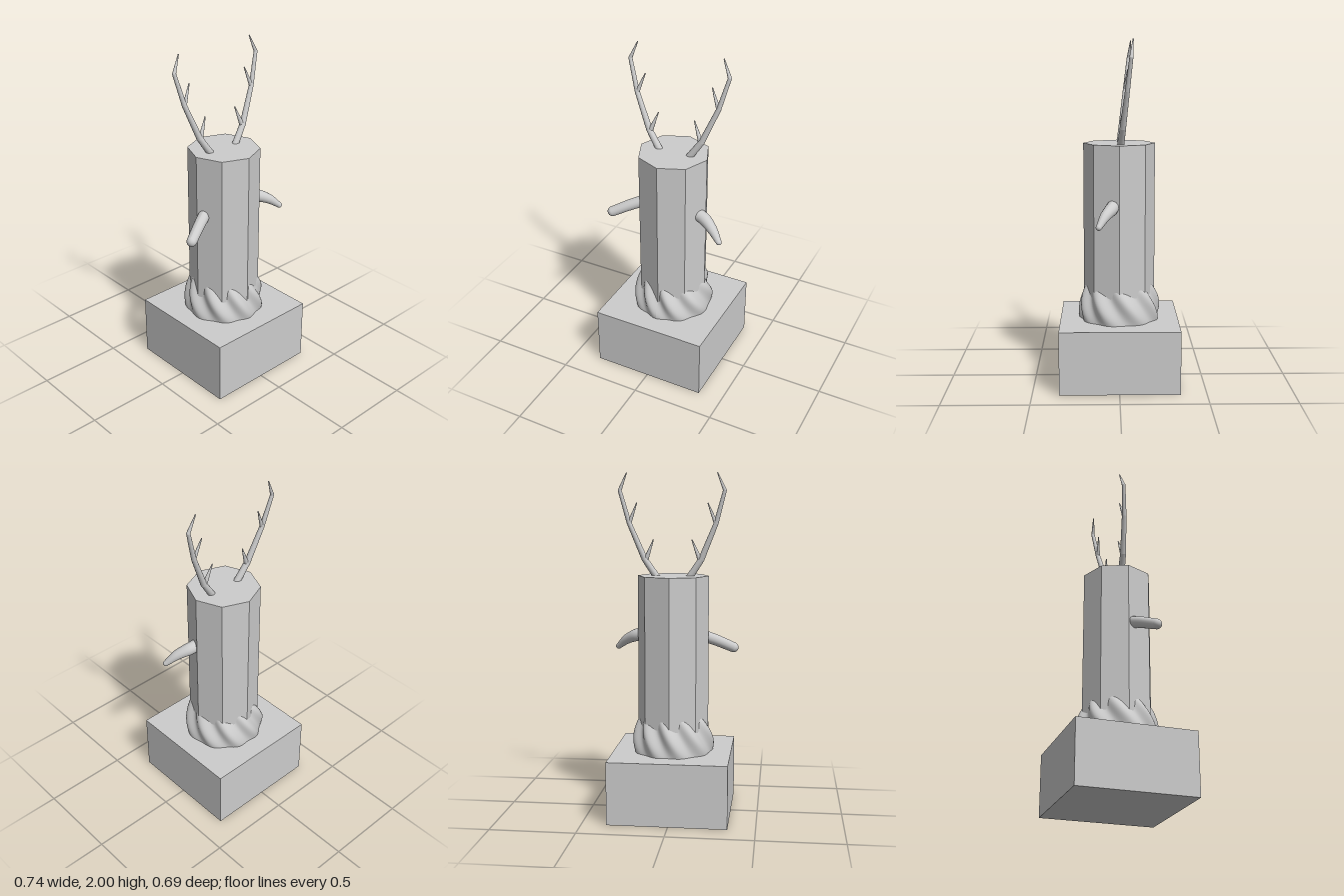
import * as THREE from 'three';

const CX = 0.007; // the post stands slightly off centre

export function createModel() {
  const group = new THREE.Group();
  const stone = new THREE.MeshStandardMaterial({ color: 0xcccccc });
  stone.name = 'pale grey';

  const add = (name, geometry, parent = group) => {
    const mesh = new THREE.Mesh(geometry, stone);
    mesh.name = name;
    parent.add(mesh);
    return mesh;
  };
  const V = (p) => new THREE.Vector3(...p);

  // Square plinth
  add('plinth', new THREE.BoxGeometry(0.695, 0.37, 0.695).translate(CX, 0.185, -0.002));

  // Eight-sided post with hard edges
  const post = new THREE.CylinderGeometry(0.209, 0.209, 1.06, 8).toNonIndexed();
  post.computeVertexNormals();
  add('post', post.translate(CX, 0.88, -0.002));

  // Twisted ridges flaring from the foot of the post and sinking into it above
  const skirt = new THREE.CylinderGeometry(1, 1, 1, 144, 24, true);
  const pos = skirt.attributes.position;
  for (let i = 0; i < pos.count; i++) {
    const v = pos.getY(i) + 0.5;
    const a = Math.atan2(pos.getX(i), pos.getZ(i));
    const ridge = Math.cos(9 * (a + 0.65 * v) + 0.5 * Math.sin(2 * a));
    const r = 0.231 + 0.02 * v - 0.078 * v * v + (0.003 + 0.02 * v * (1.15 - v)) * 1.6 * ridge;
    pos.setXYZ(i, CX + r * Math.sin(a), 0.36 + 0.235 * v, r * Math.cos(a) - 0.002);
  }
  skirt.computeVertexNormals();
  add('rootRidges', skirt);

  // Tapered rod between two points
  const rod = (name, p, q, r0, r1, parent) => {
    const a = V(p), b = V(q), d = b.clone().sub(a);
    const mesh = add(name, new THREE.CylinderGeometry(r1, r0, d.length(), 12), parent);
    mesh.position.copy(a).add(b).multiplyScalar(0.5);
    mesh.quaternion.setFromUnitVectors(new THREE.Vector3(0, 1, 0), d.normalize());
  };
  const ball = (name, p, r, parent) =>
    add(name, new THREE.SphereGeometry(r, 16, 12), parent).position.copy(V(p));

  // Antlers: a bent beam leaning back, with two tines on the inner side
  const lean = (y) => -0.01 - 0.11 * (y - 1.41);
  for (const s of [1, -1]) {
    const antler = new THREE.Group();
    antler.name = s > 0 ? 'leftAntler' : 'rightAntler';
    group.add(antler);
    const at = (x, y) => [CX + s * x, y, lean(y)];
    const beam = [[0.085, 1.385, 0.021], [0.165, 1.505, 0.018], [0.252, 1.715, 0.014],
      [0.302, 1.9, 0.011], [0.26, 2.0, 0.003]];
    beam.forEach(([x, y, r], i) => {
      if (i === beam.length - 1) return;
      const [x2, y2, r2] = beam[i + 1];
      rod('beam', at(x, y), at(x2, y2), r, r2, antler);
      if (i) ball('beamJoint', at(x, y), r, antler);
    });
    rod('lowerTine', at(0.155, 1.51), at(0.112, 1.62), 0.014, 0.003, antler);
    rod('upperTine', at(0.248, 1.72), at(0.205, 1.83), 0.012, 0.003, antler);
  }

  // Branch arms: curved tubes whose radius follows a short list, with rounded ends
  const arm = (name, points, radii) => {
    const curve = new THREE.CatmullRomCurve3(points.map(V));
    const rows = 20, sides = 20;
    const tube = new THREE.TubeGeometry(curve, rows, 1, sides);
    const p = tube.attributes.position, vertex = new THREE.Vector3();
    for (let i = 0; i < p.count; i++) {
      const t = Math.floor(i / (sides + 1)) / rows;
      const k = t * (radii.length - 1), j = Math.min(Math.floor(k), radii.length - 2);
      const r = THREE.MathUtils.lerp(radii[j], radii[j + 1], k - j);
      const centre = curve.getPointAt(t);
      vertex.fromBufferAttribute(p, i).sub(centre).multiplyScalar(r).add(centre);
      p.setXYZ(i, vertex.x, vertex.y, vertex.z);
    }
    tube.computeVertexNormals();
    add(name, tube);
    ball(name + 'Tip', points[points.length - 1], radii[radii.length - 1]);
  };
  arm('rightArm', [[-0.14, 1.065, 0.015], [-0.24, 1.025, 0.063], [-0.343, 0.975, 0.114]],
    [0.035, 0.033, 0.03]);
  arm('leftArm', [[0.16, 1.065, 0.03], [0.225, 1.052, 0.045], [0.295, 1.02, 0.082], [0.354, 0.97, 0.116]],
    [0.037, 0.037, 0.029, 0.017]);

  return group;
}
